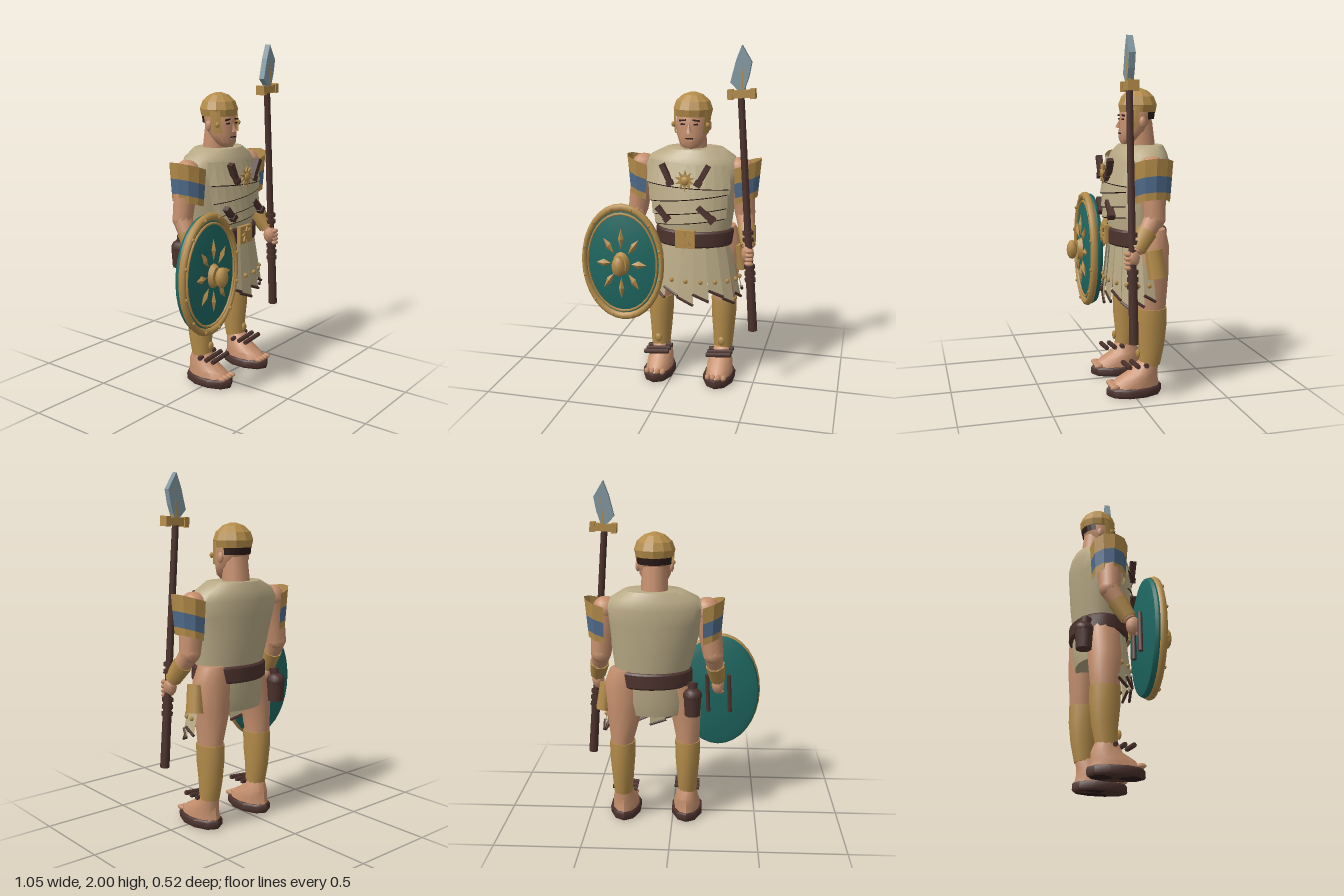
import * as THREE from 'three';
import { toCreasedNormals } from 'three/addons/utils/BufferGeometryUtils.js';

const mat = (name, color, side = THREE.DoubleSide) => {
  const m = new THREE.MeshStandardMaterial({ color, side });
  m.name = name;
  return m;
};

// Stacked elliptical rings [y, cx, cz, rx, rz]; a partial sweep stays open. Angle 0 is +z, turning to +x.
function loft(rings, n = 16, a0 = 0, a1 = Math.PI * 2, crease = 0.7) {
  const closed = a1 - a0 > 6.2, pos = [], idx = [], w = n + 1;
  for (const [y, cx, cz, rx, rz] of rings)
    for (let j = 0; j <= n; j++) {
      const t = a0 + (a1 - a0) * j / n;
      pos.push(cx + rx * Math.sin(t), y, cz + rz * Math.cos(t));
    }
  for (let i = 0; i < rings.length - 1; i++)
    for (let j = 0; j < n; j++) {
      const a = i * w + j, d = a + w;
      idx.push(a, a + 1, d + 1, a, d + 1, d);
    }
  if (closed) {
    const last = (rings.length - 1) * w, c = pos.length / 3, top = rings[rings.length - 1];
    pos.push(rings[0][1], rings[0][0], rings[0][2], top[1], top[0], top[2]);
    for (let j = 0; j < n; j++) idx.push(c, j + 1, j, c + 1, last + j, last + j + 1);
  }
  const g = new THREE.BufferGeometry();
  g.setAttribute('position', new THREE.Float32BufferAttribute(pos, 3));
  g.setIndex(idx);
  return toCreasedNormals(g, crease);
}

// Slant a geometry: height changes with x
function slant(g, k, x0) {
  const p = g.attributes.position;
  for (let i = 0; i < p.count; i++) p.setY(i, p.getY(i) + (p.getX(i) - x0) * k);
  g.computeVertexNormals();
  return g;
}

export function createModel() {
  const root = new THREE.Group();
  root.name = 'shieldBearer';
  const skin = mat('skin', 0xc6906e), cloth = mat('cloth', 0xb9aa86), gold = mat('gold', 0xb48c4a),
    leather = mat('leather', 0x4c322d), teal = mat('teal', 0x1f6862), blue = mat('blue', 0x506c8c),
    steel = mat('steel', 0x8298a2), dark = mat('darkBrown', 0x2c1b18);

  const add = (name, geo, m, p = [0, 0, 0], parent = root) => {
    const o = new THREE.Mesh(geo, m);
    o.name = name;
    o.position.set(...p);
    parent.add(o);
    return o;
  };
  const box = (name, s, p, m, rz = 0, parent = root) => {
    const o = add(name, new THREE.BoxGeometry(...s), m, p, parent);
    o.rotation.z = rz;
    return o;
  };
  const ball = (name, p, s, m, parent = root, seg = 10) => {
    const o = add(name, new THREE.SphereGeometry(1, seg, Math.ceil(seg * 0.7)), m, p, parent);
    o.scale.set(...s);
    return o;
  };
  const limb = (name, a, b, ra, rb, m, seg = 10) => {
    const A = new THREE.Vector3(...a), B = new THREE.Vector3(...b), d = B.clone().sub(A);
    const o = add(name, new THREE.CylinderGeometry(rb, ra, d.length(), seg), m, A.clone().add(B).multiplyScalar(0.5).toArray());
    o.quaternion.setFromUnitVectors(new THREE.Vector3(0, 1, 0), d.normalize());
    return o;
  };
  const sun = (name, r, p, n, parent = root) => {
    const s = new THREE.Shape();
    for (let i = 0; i < n * 2; i++) {
      const a = Math.PI * i / n, q = i % 2 ? r * 0.5 : r;
      s[i ? 'lineTo' : 'moveTo'](q * Math.sin(a), q * Math.cos(a));
    }
    add(name, new THREE.ExtrudeGeometry(s, { depth: 0.01, bevelEnabled: false }), gold, p, parent);
  };

  // Tunic: chest and lower part
  const torso = [[0.92, 0.12, -0.065, 0.215, 0.15], [1.08, 0.11, -0.07, 0.245, 0.165], [1.22, 0.1, -0.075, 0.275, 0.17],
    [1.31, 0.1, -0.085, 0.29, 0.165], [1.365, 0.1, -0.09, 0.25, 0.15], [1.41, 0.11, -0.095, 0.17, 0.125]];
  add('tunic', loft(torso, 28), cloth);
  add('tunicHem', loft([[0.68, 0.1, -0.07, 0.19, 0.13], [0.76, 0.11, -0.07, 0.215, 0.145], [0.93, 0.12, -0.065, 0.215, 0.15]], 24), cloth);

  // Overlapping chest plates with dark lower edges
  const at = (y, off) => {
    let i = 0;
    while (i < torso.length - 2 && torso[i + 1][0] < y) i++;
    const k = (y - torso[i][0]) / (torso[i + 1][0] - torso[i][0]);
    return [y, ...[1, 2, 3, 4].map(c => torso[i][c] + (torso[i + 1][c] - torso[i][c]) * k + (c > 2 ? off : 0))];
  };
  [[1.0, 1.08], [1.06, 1.16], [1.14, 1.23], [1.21, 1.34]].forEach(([lo, hi], i) => {
    const k = i < 3 ? 0.12 : -0.05;
    add('chestPlate', slant(loft([at(lo, 0.032), at(hi, 0.016)], 10, -0.95, 0.95), k, 0.1), cloth);
    add('plateEdge', slant(loft([at(lo - 0.006, 0.028), at(lo, 0.0325)], 10, -0.9, 0.9), k, 0.1), dark);
  });
  for (const [x, y, z, r, l] of [[-0.01, 1.28, 0.098, 0.45, 0.13], [0.2, 1.28, 0.1, -0.5, 0.13], [-0.035, 1.05, 0.09, 0.75, 0.1], [0.22, 1.06, 0.1, 0.85, 0.12]]) {
    box('chestStrap', [0.03, l, 0.035], [x, y, z + 0.012], leather, r);
    box('strapEnd', [0.04, 0.03, 0.04], [x + Math.sin(r) * l * 0.4, y - Math.cos(r) * l * 0.4, z + 0.015], leather, r);
  }
  sun('chestSun', 0.06, [0.1, 1.25, 0.117], 10);
  ball('chestSunCentre', [0.1, 1.25, 0.126], [0.025, 0.025, 0.012], gold);

  // Belt, buckle and pouches
  add('belt', loft([[0.85, 0.12, -0.065, 0.225, 0.163], [0.86, 0.12, -0.065, 0.235, 0.173], [0.935, 0.12, -0.065, 0.235, 0.173], [0.945, 0.12, -0.065, 0.225, 0.163]], 24), leather);
  box('buckle', [0.115, 0.105, 0.025], [0.1, 0.905, 0.11], gold);
  sun('buckleSun', 0.048, [0.1, 0.905, 0.122], 8);
  const pouch = limb('sidePouch', [0.405, 0.695, -0.11], [0.385, 0.85, -0.09], 0.055, 0.05, gold, 8);
  pouch.scale.x = 0.8;
  limb('flask', [-0.12, 0.7, -0.205], [-0.12, 0.82, -0.205], 0.045, 0.053, leather, 10);
  ball('flaskLid', [-0.12, 0.82, -0.205], [0.055, 0.045, 0.055], leather);
  limb('flaskNeck', [-0.12, 0.84, -0.2], [-0.12, 0.89, -0.19], 0.025, 0.03, leather, 8);

  // Skirt flaps with ragged ends, wrapped around the front and the left hip
  for (let i = 0; i < 9; i++) {
    const a = -1.3 + i * 0.34, b = a + 0.36;
    const P = (t, y, rx, rz) => new THREE.Vector3(0.13 + rx * Math.sin(t), y, -0.06 + rz * Math.cos(t));
    const end = 0.51 + (i % 3) * 0.025, q = [P(a, end + 0.04, 0.28, 0.18), P(b, end, 0.28, 0.19), P(b, 0.86, 0.21, 0.16), P(a, 0.86, 0.21, 0.15)];
    const g = new THREE.BufferGeometry().setFromPoints(q);
    g.setIndex([0, 1, 2, 0, 2, 3]);
    g.computeVertexNormals();
    add('skirtFlap', g, cloth);
    limb('flapHem', q[0].toArray(), q[1].toArray(), 0.009, 0.009, leather, 5);
    ball('flapStud', P((a + b) / 2, 0.65, 0.263, 0.178).toArray(), [0.014, 0.014, 0.014], gold, root, 6);
  }

  // Legs, greaves and sandals
  for (const [s, cx, dz] of [[1, 0.29, 0], [-1, -0.085, 0.035]]) {
    const lx = cx + s * 0.005, z = -0.11 + dz;
    add(s > 0 ? 'leftThigh' : 'rightThigh', loft([[0.4, lx, z, 0.065, 0.08], [0.52, lx, z, 0.07, 0.085],
      [0.7, cx - s * 0.01, z, s > 0 ? 0.105 : 0.09, 0.1], [0.86, cx - (s > 0 ? 0.01 : -0.06), z, s > 0 ? 0.115 : 0.09, 0.1],
      [0.95, cx - (s > 0 ? 0.02 : -0.08), z, 0.09, 0.085]], 12), skin);
    add('greave', loft([[0.17, lx, z + 0.01, 0.055, 0.062], [0.28, lx, z, 0.064, 0.075], [0.4, lx, z, 0.074, 0.088], [0.5, lx, z, 0.076, 0.088]], 14), gold);
    ball('greaveStud', [lx, 0.235, z + 0.08], [0.022, 0.028, 0.012], gold, root, 6);
    add('foot', loft([[0.045, cx, -0.01, 0.08, 0.15], [0.09, cx, -0.025, 0.078, 0.125], [0.13, cx, -0.06, 0.068, 0.09], [0.2, lx, z + 0.01, 0.05, 0.057]], 12), skin);
    add('sole', loft([[0, cx, -0.01, 0.088, 0.155], [0.01, cx, -0.01, 0.095, 0.162], [0.042, cx, -0.01, 0.095, 0.162], [0.052, cx, -0.01, 0.088, 0.155]], 10), leather);
    add('soleBottom', loft([[0.0, cx, -0.01, 0.08, 0.145], [0.002, cx, -0.01, 0.08, 0.145]], 10), dark);
    for (let i = 0; i < 3; i++)
      limb('ankleStrap', [cx - 0.075, 0.165, 0.035 - i * 0.05 + dz], [cx + 0.075, 0.18, 0.035 - i * 0.05 + dz], 0.014, 0.014, leather, 6);
    for (const k of [-1.5, -0.5, 0.5, 1.5])
      ball('toe', [cx + k * 0.032, 0.062, 0.115], [0.017, 0.016, 0.03], skin, root, 6);
  }

  // Arms with flared shoulder guards, bracers and hands
  for (const [s, sh, el, ha] of [[1, [0.385, 1.29, -0.08], [0.415, 1.03, -0.085], [0.455, 0.86, 0.03]],
    [-1, [-0.195, 1.29, -0.08], [-0.235, 1.03, -0.085], [-0.265, 0.84, 0.02]]]) {
    ball('shoulder', sh, [0.075, 0.075, 0.08], skin);
    limb('upperArm', sh, el, 0.075, 0.06, skin);
    ball('elbow', el, [0.06, 0.06, 0.062], skin);
    limb('forearm', el, ha, 0.058, 0.036, skin);
    const mix = k => el.map((v, i) => v + (ha[i] - v) * k);
    limb('bracer', mix(0.4), mix(0.95), 0.057, 0.046, gold, 8);
    ball('hand', [ha[0], ha[1] - 0.035, ha[2] + 0.02], [0.038, 0.055, 0.042], skin, root, 8);
    for (let i = 0; i < 4; i++)
      ball('finger', [ha[0] + s * 0.012, ha[1] - 0.01 - i * 0.025, ha[2] + 0.05], [0.028, 0.014, 0.02], skin, root, 6);
    const gx = s > 0 ? 0.4 : -0.19;
    [[1.11, 1.15, gold], [1.15, 1.235, blue], [1.235, 1.325, gold]].forEach(([lo, hi, m], i) => {
      const r = y => [y, gx, -0.08, 0.088 + (y - 1.11) * 0.09, 0.095 + (y - 1.11) * 0.07];
      const a = s > 0 ? [-0.35, 3.3] : [-3.3, 0.35];
      add('shoulderGuard' + (i + 1), slant(loft([r(lo), r(hi)], 6, ...a, 0.1), s * 0.33, gx), m);
    });
  }

  // Neck, head and face
  limb('neck', [0.1, 1.36, -0.11], [0.1, 1.54, -0.095], 0.08, 0.072, skin, 14);
  add('head', loft([[1.415, 0.1, -0.02, 0.035, 0.032], [1.44, 0.1, -0.03, 0.066, 0.055], [1.49, 0.1, -0.055, 0.088, 0.08],
    [1.55, 0.1, -0.07, 0.095, 0.092], [1.63, 0.1, -0.08, 0.097, 0.098], [1.68, 0.1, -0.08, 0.06, 0.06]], 16), skin);
  const nose = add('nose', new THREE.ConeGeometry(0.018, 0.06, 4), skin, [0.1, 1.535, 0.025]);
  nose.rotation.x = -0.2;
  box('mouth', [0.045, 0.007, 0.008], [0.1, 1.475, 0.023], dark);
  box('lip', [0.036, 0.01, 0.009], [0.1, 1.465, 0.021], skin);
  for (const s of [-1, 1]) {
    box('brow', [0.042, 0.009, 0.009], [0.1 + s * 0.04, 1.577, 0.013], dark, s * -0.12);
    box('eye', [0.024, 0.009, 0.008], [0.1 + s * 0.038, 1.555, 0.014], dark);
    ball('ear', [0.1 + s * 0.095, 1.54, -0.085], [0.014, 0.032, 0.02], skin, root, 8);
    // Helmet cheek piece
    const a = s > 0 ? [0.85, 1.45] : [-1.45, -0.85];
    add('cheekPiece', loft([[1.5, 0.1, -0.055, 0.1, 0.09], [1.54, 0.1, -0.065, 0.107, 0.1], [1.63, 0.1, -0.08, 0.112, 0.108]], 3, ...a, 0.1), gold);
    ball('cheekStud', [0.1 + s * 0.1, 1.55, -0.015], [0.013, 0.016, 0.014], gold, root, 6);
  }
  add('hair', loft([[1.555, 0.1, -0.085, 0.1, 0.09], [1.62, 0.1, -0.085, 0.105, 0.1]], 8, 1.9, 4.38, 0.1), dark);
  add('helmet', loft([[1.595, 0.1, -0.082, 0.107, 0.104], [1.635, 0.1, -0.082, 0.116, 0.112], [1.68, 0.1, -0.082, 0.1, 0.095],
    [1.715, 0.1, -0.082, 0.06, 0.057], [1.73, 0.1, -0.082, 0.015, 0.015]], 12, 0, Math.PI * 2, 0.25), gold);

  // Spear
  const sx = y => 0.497 - (y - 0.36) * 0.072, sp = y => [sx(y), y, 0.053];
  limb('spearShaft', sp(0.36), sp(1.74), 0.022, 0.019, leather, 8);
  limb('spearButt', sp(0.36), sp(0.76), 0.027, 0.025, leather, 8);
  for (const y of [0.66, 0.7, 0.74, 0.9, 0.94]) limb('gripRing', sp(y), sp(y + 0.022), 0.032, 0.032, leather, 8);
  box('spearCrossbar', [0.145, 0.042, 0.045], [0.403, 1.737, 0.053], gold, 0.07);
  for (const s of [-1, 1]) box('crossbarEnd', [0.03, 0.055, 0.06], [0.403 + s * 0.062, 1.737 + s * 0.004, 0.053], gold, 0.07);
  const bl = new THREE.Shape([[0.4, 2], [0.37, 1.92], [0.34, 1.8], [0.385, 1.755], [0.415, 1.755], [0.44, 1.83], [0.455, 1.91]].map(p => new THREE.Vector2(...p)));
  add('spearBlade', new THREE.ExtrudeGeometry(bl, { depth: 0.036, bevelEnabled: false }), steel, [0, 0, 0.035]);
  limb('bladeSpine', [0.402, 1.75, 0.053], [0.412, 1.91, 0.053], 0.022, 0.019, gold, 6);

  // Oval shield
  const sh = new THREE.Group();
  sh.name = 'shield';
  sh.position.set(-0.27, 0.745, 0);
  sh.scale.x = 0.71;
  root.add(sh);
  const prof = [[0, 0.075], [0.29, 0.08], [0.335, 0.092], [0.345, 0.11], [0.34, 0.135], [0.3, 0.145], [0.15, 0.162], [0, 0.17]];
  add('shieldBody', toCreasedNormals(new THREE.LatheGeometry(prof.map(p => new THREE.Vector2(...p)), 32), 0.6), teal, [0, 0, 0], sh).rotation.x = Math.PI / 2;
  add('shieldRim', new THREE.TorusGeometry(0.333, 0.023, 8, 32), gold, [0, 0, 0.138], sh);
  add('shieldInnerRing', new THREE.TorusGeometry(0.297, 0.008, 5, 32), gold, [0, 0, 0.15], sh);
  for (let i = 0; i < 12; i++) {
    const a = i * Math.PI / 6 + 0.26;
    ball('rimStud', [0.333 * Math.sin(a), 0.333 * Math.cos(a), 0.16], [0.013, 0.011, 0.01], gold, sh, 6);
  }
  for (let i = 0; i < 8; i++) {
    const a = i * Math.PI / 4;
    const ray = add('sunRay', new THREE.OctahedronGeometry(1).toNonIndexed(), gold, [0.15 * Math.sin(a), 0.15 * Math.cos(a), 0.168], sh);
    ray.scale.set(0.024, 0.065, 0.016);
    ray.rotation.z = -a;
  }
  add('bossBase', new THREE.CylinderGeometry(0.055, 0.075, 0.03, 12), gold, [0, 0, 0.178], sh).rotation.x = Math.PI / 2;
  ball('boss', [0, 0, 0.225], [0.058, 0.06, 0.034], gold, sh, 8);
  for (const x of [-0.34, -0.21]) limb('shieldHandle', [x, 0.63, 0.06], [x + 0.01, 0.86, 0.06], 0.014, 0.014, leather, 6);
  return root;
}
